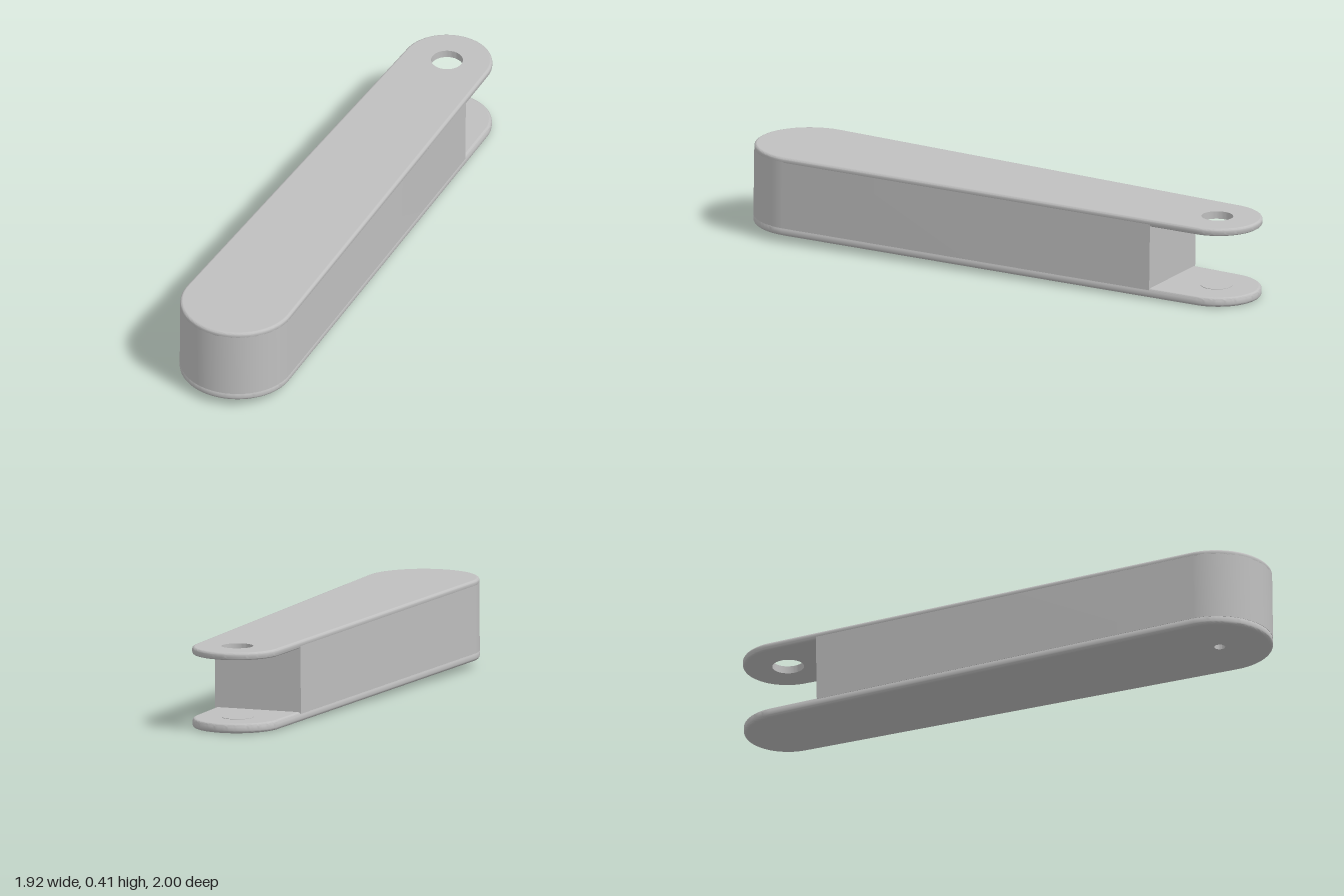
import * as THREE from 'three';
import { toCreasedNormals } from 'three/addons/utils/BufferGeometryUtils.js';

// Plan dimensions: x runs from the wide end to the narrow end
const R = 0.26, r = 0.205, L = 2.108, HOLE = 0.072;
const PHI = Math.acos((R - r) / L); // angle of the tangent points

// Tapered outline with two round ends
function armShape() {
  const s = new THREE.Shape();
  s.absarc(0, 0, R, PHI, 2 * Math.PI - PHI, false);
  s.absarc(L, 0, r, -PHI, PHI, false);
  s.closePath();
  return s;
}

// Same outline, cut square before the narrow end
function bodyShape(endX) {
  const y = (R - endX * Math.cos(PHI)) / Math.sin(PHI);
  const s = new THREE.Shape();
  s.absarc(0, 0, R, PHI, 2 * Math.PI - PHI, false);
  s.lineTo(endX, -y);
  s.lineTo(endX, y);
  s.closePath();
  return s;
}

// Extrude between two heights, with an optional rounded rim and a straight hole
function slab(shape, y0, y1, bevel, hole) {
  if (hole) {
    const path = new THREE.Path();
    path.absarc(hole.x, 0, hole.r, 0, 2 * Math.PI, true);
    shape.holes.push(path);
  }
  let geo = new THREE.ExtrudeGeometry(shape, {
    depth: y1 - y0 - 2 * bevel, curveSegments: 32, bevelEnabled: bevel > 0,
    bevelThickness: bevel, bevelSize: bevel, bevelOffset: -bevel, bevelSegments: 4,
  });
  geo.rotateX(-Math.PI / 2);
  geo.translate(0, y0 + bevel, 0);
  const p = geo.attributes.position;
  if (hole) {
    // keep the hole wall straight
    for (let i = 0; i < p.count; i++) {
      const dx = p.getX(i) - hole.x, dz = p.getZ(i), d = Math.hypot(dx, dz);
      if (d < hole.r + 0.03) {
        p.setX(i, hole.x + dx * hole.r / d);
        p.setZ(i, dz * hole.r / d);
      }
    }
  }
  geo = toCreasedNormals(geo, 0.6);
  // flat shading on the two faces
  const caps = geo.groups[0], mid = (y0 + y1) / 2;
  for (let i = caps.start; i < caps.start + caps.count; i++) {
    geo.attributes.normal.setXYZ(i, 0, geo.attributes.position.getY(i) > mid ? 1 : -1, 0);
  }
  geo.clearGroups();
  return geo;
}

export function createModel() {
  const grey = new THREE.MeshStandardMaterial({ color: 0xbfbfbf });
  grey.name = 'grey';

  const arm = new THREE.Group();
  arm.name = 'arm';
  const add = (name, geo) => {
    const mesh = new THREE.Mesh(geo, grey);
    mesh.name = name;
    arm.add(mesh);
    return mesh;
  };

  // Bottom cover with a small screw hole under the wide end
  add('bottomPlate', slab(armShape(), 0, 0.044, 0.014, { x: -0.02, r: 0.025 }));
  // Solid body between the plates
  add('body', slab(bodyShape(L - 0.23), 0.036, 0.35, 0));
  // Top plate with the pivot hole
  add('topPlate', slab(armShape(), 0.335, 0.37, 0.012, { x: L, r: HOLE }));
  // Pivot seat on the bottom plate
  add('pivotSeat', new THREE.CylinderGeometry(HOLE, HOLE, 0.004, 48)).position.set(L, 0.044, 0);

  // Lay the arm diagonally, sloping slightly down to the narrow end
  arm.rotation.set(0, Math.atan2(1.53, 1.45), -0.0145);
  arm.position.set(-0.7, 0.0335, 0.738);

  const model = new THREE.Group();
  model.name = 'linkArm';
  model.add(arm);
  return model;
}
